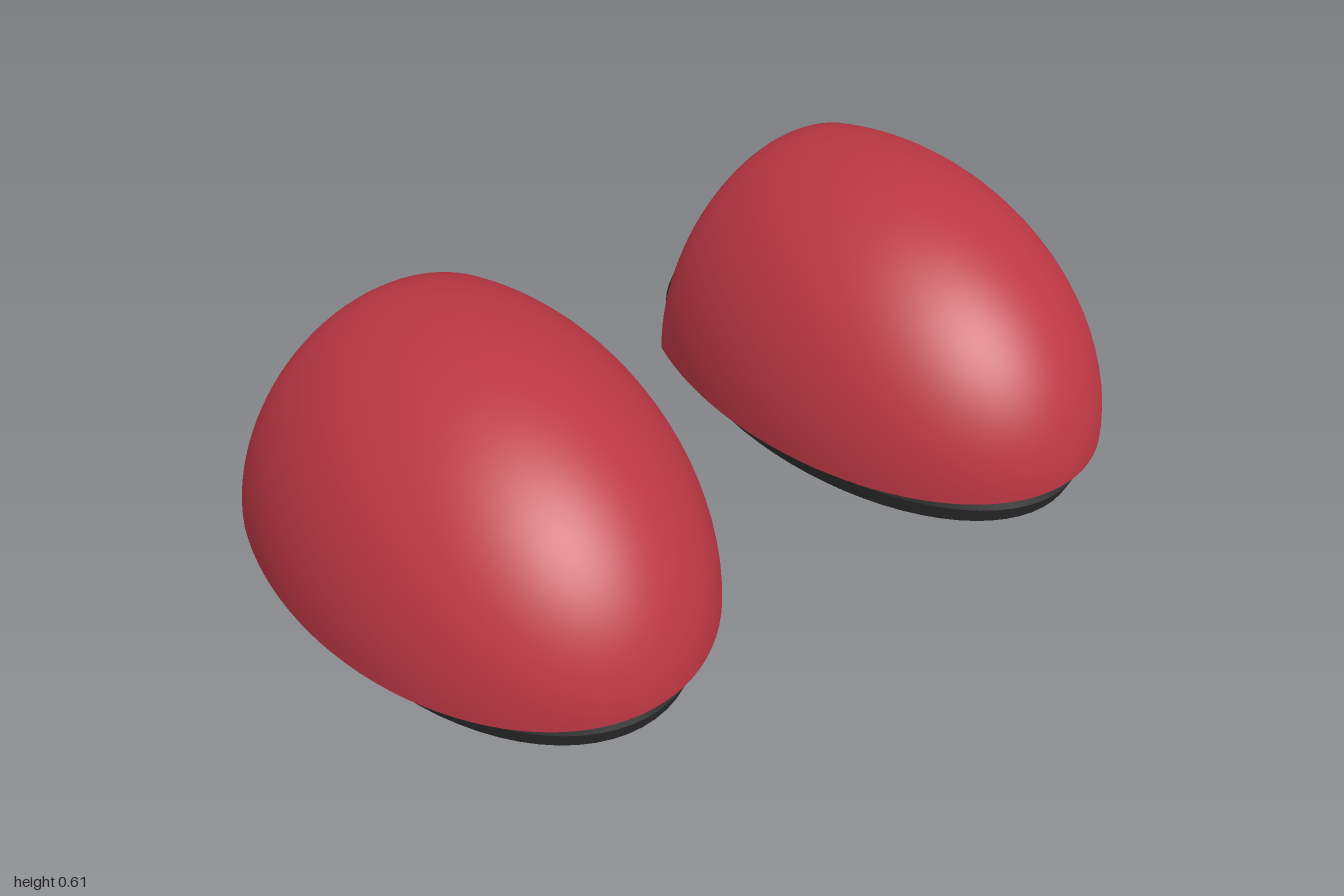
import * as THREE from 'three';
import { toCreasedNormals } from 'three/addons/utils/BufferGeometryUtils.js';

const HALF_WIDTH = 0.445, HEIGHT = 0.52, SOLE_TOP = 0.087;
const CENTRE_Z = -0.025, CUT_Z = -0.31;

// Quarter-ellipse arc from the open heel edge (startZ) to the toe tip
function arc(radius, length, startZ, steps = 32) {
  const a0 = Math.acos((startZ - CENTRE_Z) / length);
  return Array.from({ length: steps + 1 }, (_, i) => {
    const a = a0 * (1 - i / steps);
    return new THREE.Vector2(radius * Math.sin(a), CENTRE_Z + length * Math.cos(a));
  });
}

// Closed wall section: outer skin, inner skin and a softened rim
function wallProfile() {
  const outer = arc(1, 0.675, CUT_Z + 0.01);
  const inner = arc(0.89, 0.625, CUT_Z + 0.01).reverse();
  return [...outer, ...inner,
    new THREE.Vector2(0.797, CUT_Z + 0.003), new THREE.Vector2(0.815, CUT_Z),
    new THREE.Vector2(0.885, CUT_Z), new THREE.Vector2(0.903, CUT_Z + 0.003), outer[0].clone()];
}

export function createModel() {
  const red = new THREE.MeshStandardMaterial({ color: 0xbc3744 });
  red.name = 'red felt';
  const black = new THREE.MeshStandardMaterial({ color: 0x2e2e2e });
  black.name = 'black rubber';

  // Domed upper: half a turn of the wall section around the toe axis
  const profile = wallProfile();
  const upperGeo = toCreasedNormals(
    new THREE.LatheGeometry(profile, 48, Math.PI / 2, Math.PI), 0.7);
  upperGeo.rotateX(Math.PI / 2).scale(HALF_WIDTH, HEIGHT, 1);

  // Flat underside of the wall, one strip for each side
  const hemGeos = [-1, 1].map((side) => {
    const points = profile.slice(0, -1).map((p) => new THREE.Vector2(side * p.x * HALF_WIDTH, p.y));
    return new THREE.ShapeGeometry(new THREE.Shape(points)).rotateX(Math.PI / 2);
  });

  // Oval sole with a slightly bulging edge
  const soleProfile = [[0, 0], [0.97, 0], [1, 0.045], [0.97, SOLE_TOP], [0, SOLE_TOP]]
    .map(([r, y]) => new THREE.Vector2(r, y));
  const soleGeo = toCreasedNormals(new THREE.LatheGeometry(soleProfile, 72), 0.7);
  soleGeo.scale(0.388, 1, 0.64);

  const model = new THREE.Group();
  model.name = 'slippers';
  for (const side of [-1, 1]) {
    const slipper = new THREE.Group();
    slipper.name = side > 0 ? 'leftSlipper' : 'rightSlipper';
    slipper.position.x = side * 0.555;
    const add = (name, geometry, material, y, z) => {
      const mesh = new THREE.Mesh(geometry, material);
      mesh.name = name;
      mesh.position.set(0, y, z);
      slipper.add(mesh);
    };
    add('sole', soleGeo, black, 0, -0.01);
    add('upper', upperGeo, red, SOLE_TOP, 0);
    hemGeos.forEach((geo, i) => add(i ? 'hemLeft' : 'hemRight', geo, red, SOLE_TOP, 0));
    model.add(slipper);
  }
  return model;
}
